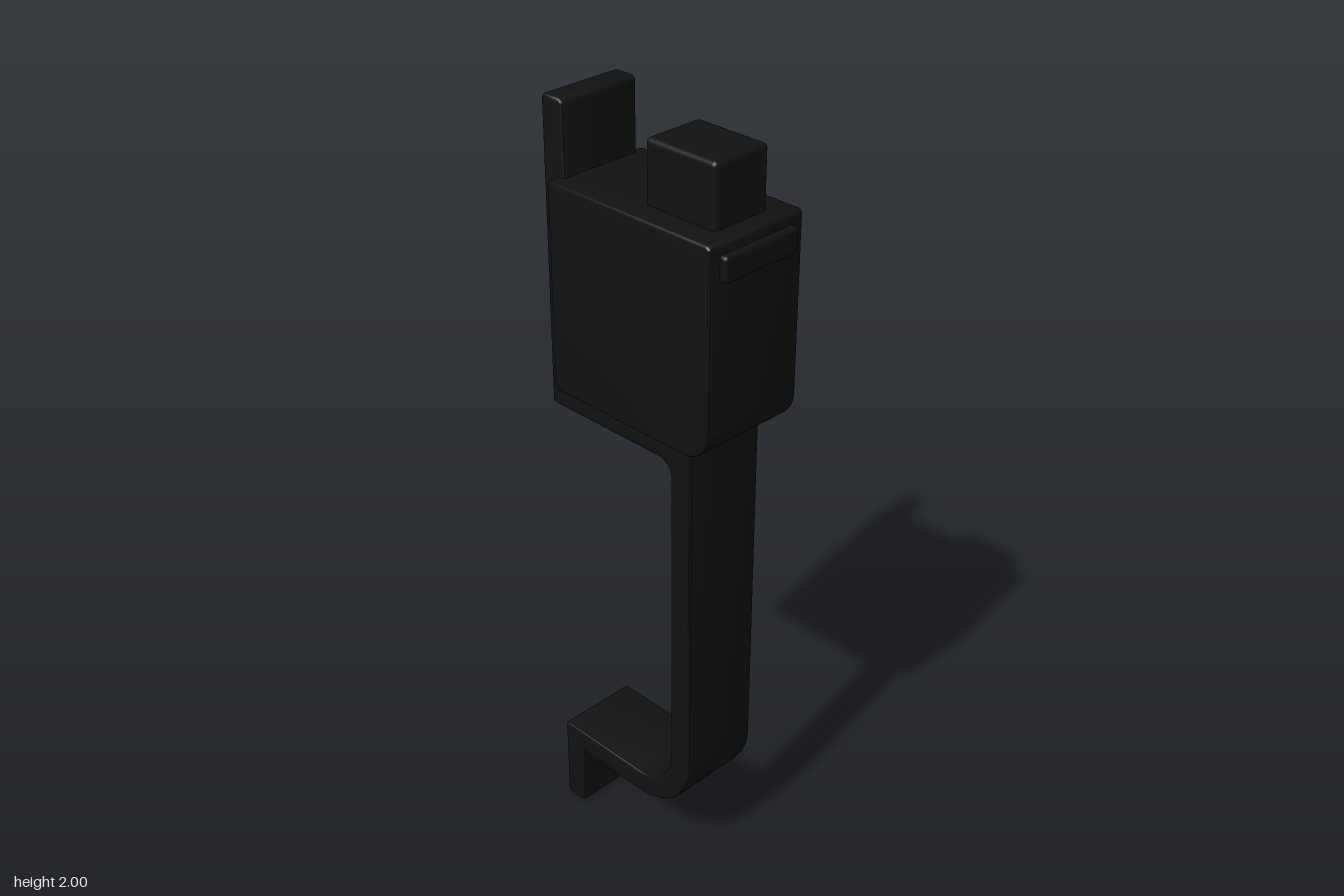
import * as THREE from 'three';
import { toCreasedNormals } from 'three/addons/utils/BufferGeometryUtils.js';
import { RoundedBoxGeometry } from 'three/addons/geometries/RoundedBoxGeometry.js';

const material = new THREE.MeshStandardMaterial({ color: 0x111111 });

// Closed outline from right-angled corners [z, y, radius], counter-clockwise
function roundedOutline(corners) {
  const shape = new THREE.Shape();
  const n = corners.length;
  const at = (i) => new THREE.Vector2(corners[i][0], corners[i][1]);
  for (let i = 0; i < n; i++) {
    const p = at(i), r = corners[i][2], k = r * 0.4477;
    const back = at((i + n - 1) % n).sub(p).normalize();
    const ahead = at((i + 1) % n).sub(p).normalize();
    const point = (dir, d) => p.clone().addScaledVector(dir, d);
    const start = point(back, r), c1 = point(back, k), c2 = point(ahead, k), end = point(ahead, r);
    if (i === 0) shape.moveTo(start.x, start.y);
    else shape.lineTo(start.x, start.y);
    shape.bezierCurveTo(c1.x, c1.y, c2.x, c2.y, end.x, end.y);
  }
  shape.closePath();
  return shape;
}

// Side profile swept across x, with softened side edges
function profileMesh(name, corners, width) {
  const bevel = 0.01;
  const geometry = new THREE.ExtrudeGeometry(roundedOutline(corners), {
    depth: width - 2 * bevel, curveSegments: 10,
    bevelSize: bevel, bevelThickness: bevel, bevelOffset: -bevel, bevelSegments: 3,
  });
  geometry.translate(0, 0, bevel - width / 2);
  geometry.rotateY(-Math.PI / 2);
  const mesh = new THREE.Mesh(toCreasedNormals(geometry, 0.4), material);
  mesh.name = name;
  return mesh;
}

// Rounded block spanning the given y and z ranges
function block(name, width, [y0, y1], [z0, z1], radius) {
  const mesh = new THREE.Mesh(new RoundedBoxGeometry(width, y1 - y0, z1 - z0, 3, radius), material);
  mesh.position.set(0, (y0 + y1) / 2, (z0 + z1) / 2);
  mesh.name = name;
  return mesh;
}

export function createModel() {
  const group = new THREE.Group();
  group.name = 'latchHandle';
  const e = 0.013;

  // Bent strap: back plate, shelf, grip, lower arm and foot in one profile
  group.add(profileMesh('handleStrap', [
    [-0.28, 0, e], [-0.213, 0, e], [-0.213, 0.18, 0.004], [0.183, 0.18, 0.18],
    [0.183, 1.3, e], [-0.213, 1.3, 0.004], [-0.213, 2, e], [-0.28, 2, e],
    [-0.28, 1.233, e], [0.117, 1.233, 0.04], [0.117, 0.248, 0.115], [-0.28, 0.248, e],
  ], 0.226));

  // Latch housing with a larger radius on its lower front edge
  group.add(profileMesh('latchHousing', [
    [-0.236, 1.297, e], [0.262, 1.297, 0.075], [0.262, 1.82, e], [-0.236, 1.82, e],
  ], 0.288));

  // Push button on top and raised bar on the front
  group.add(block('pushButton', 0.162, [1.76, 1.97], [0.01, 0.215], 0.012));
  group.add(block('frontBar', 0.226, [1.73, 1.793], [0.235, 0.28], 0.01));
  return group;
}
